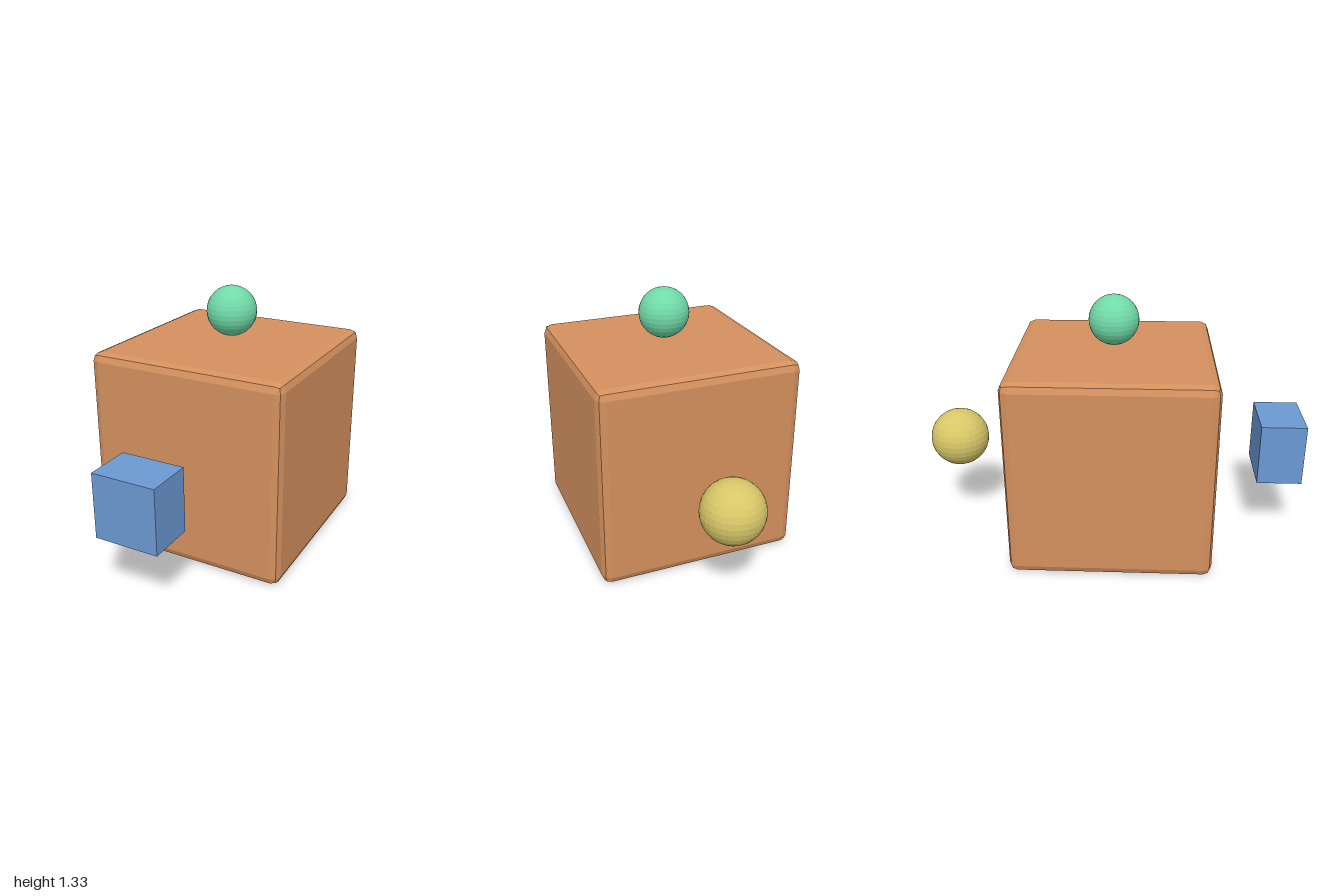
import * as THREE from 'three';
import { RoundedBoxGeometry } from 'three/addons/geometries/RoundedBoxGeometry.js';

function paint(name, color) {
  const material = new THREE.MeshStandardMaterial({ color, flatShading: true });
  material.name = name;
  return material;
}

export function createModel() {
  const model = new THREE.Group();
  model.name = 'cubeWithMarkers';
  const middle = 0.522;

  const add = (name, geometry, material, y, z) => {
    const mesh = new THREE.Mesh(geometry, material);
    mesh.name = name;
    mesh.position.set(0, y, z);
    model.add(mesh);
  };

  // Large cube with softly bevelled edges
  add('mainCube', new RoundedBoxGeometry(1.036, 1.044, 1.036, 1, 0.044), paint('orange', 0xd4905e), middle, 0);

  // Floating markers: block in front, ball above, ball behind
  add('frontBlock', new THREE.BoxGeometry(0.326, 0.326, 0.235), paint('blue', 0x6b99d3), middle, 0.8825);
  add('topBall', new THREE.SphereGeometry(0.129, 32, 16), paint('green', 0x70daa8), 1.2, 0);
  add('backBall', new THREE.SphereGeometry(0.155, 32, 16), paint('yellow', 0xd8c768), middle, -0.845);

  return model;
}
